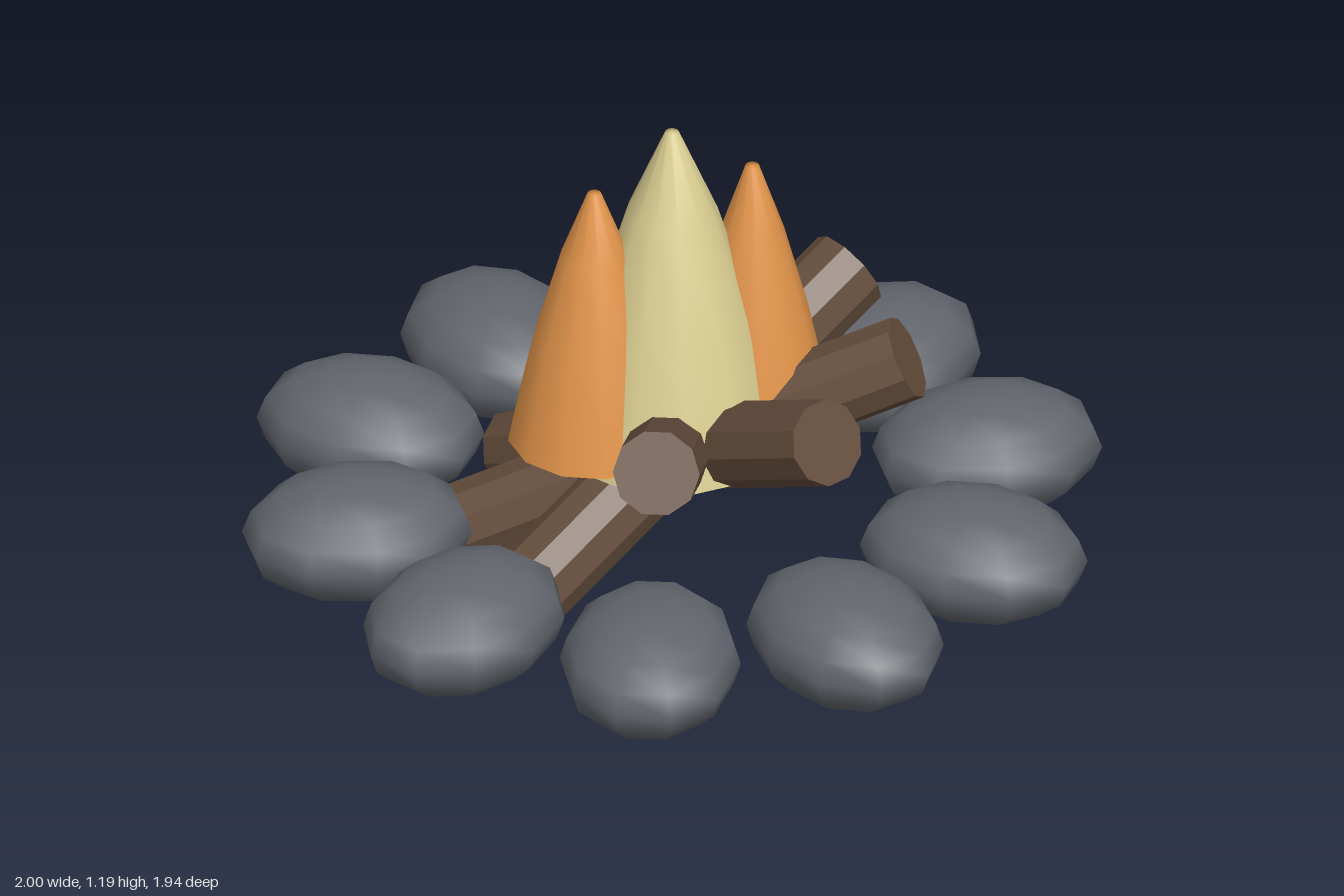
import * as THREE from 'three';

const material = (name, color, flatShading = false) =>
  Object.assign(new THREE.MeshStandardMaterial({ color, flatShading }), { name });

export function createModel() {
  const fire = new THREE.Group();
  fire.name = 'campfire';

  const stone = material('stone grey', 0x61656c);
  const wood = material('log brown', 0x644c3b, true);
  const orange = material('flame orange', 0xe2944a);
  const yellow = material('flame yellow', 0xdccf92);

  function add(parent, name, geometry, mat) {
    const mesh = new THREE.Mesh(geometry, mat);
    mesh.name = name;
    parent.add(mesh);
    return mesh;
  }

  // Ring of ten flattened stones, long axis pointing outward
  const stoneGeometry = new THREE.SphereGeometry(1, 10, 8);
  stoneGeometry.scale(0.208, 0.142, 0.269);
  for (let i = 0; i < 10; i++) {
    const a = Math.PI / 2 + (i * Math.PI) / 5;
    const s = add(fire, 'stone', stoneGeometry, stone);
    s.position.set(0.745 * Math.sin(a), 0.235, 0.745 * Math.cos(a));
    s.rotation.y = a;
  }

  // Four tilted logs crossing at the middle
  const logGeometry = new THREE.CylinderGeometry(0.1, 0.1, 1.2, 10);
  logGeometry.rotateZ(0.45 - Math.PI / 2);
  for (const degrees of [63, 18, -27, -72]) {
    const log = add(fire, 'log', logGeometry, wood);
    log.position.y = 0.352;
    log.rotation.y = THREE.MathUtils.degToRad(degrees);
  }

  // Tapered flames with a slight bulge and a flat underside
  function flame(name, x, z, base, top, radius, mat) {
    const group = new THREE.Group();
    group.name = name;
    group.position.set(x, base, z);
    const h = top - base;
    const profile = [
      [radius, 0], [radius * 0.88, h * 0.18], [radius * 0.7, h * 0.42],
      [radius * 0.4, h * 0.74], [0.016, h], [0, h],
    ].map(([r, y]) => new THREE.Vector2(r, y));
    add(group, 'flameBody', new THREE.LatheGeometry(profile, 12), mat);
    const underside = new THREE.CircleGeometry(radius, 12);
    underside.rotateX(Math.PI / 2);
    add(group, 'flameUnderside', underside, mat);
    fire.add(group);
  }
  flame('mainFlame', 0, 0, 0.38, 1.2, 0.265, yellow);
  flame('frontFlame', -0.15, 0.105, 0.41, 1.06, 0.2, orange);
  flame('backFlame', 0.15, -0.12, 0.41, 1.075, 0.185, orange);

  return fire;
}
